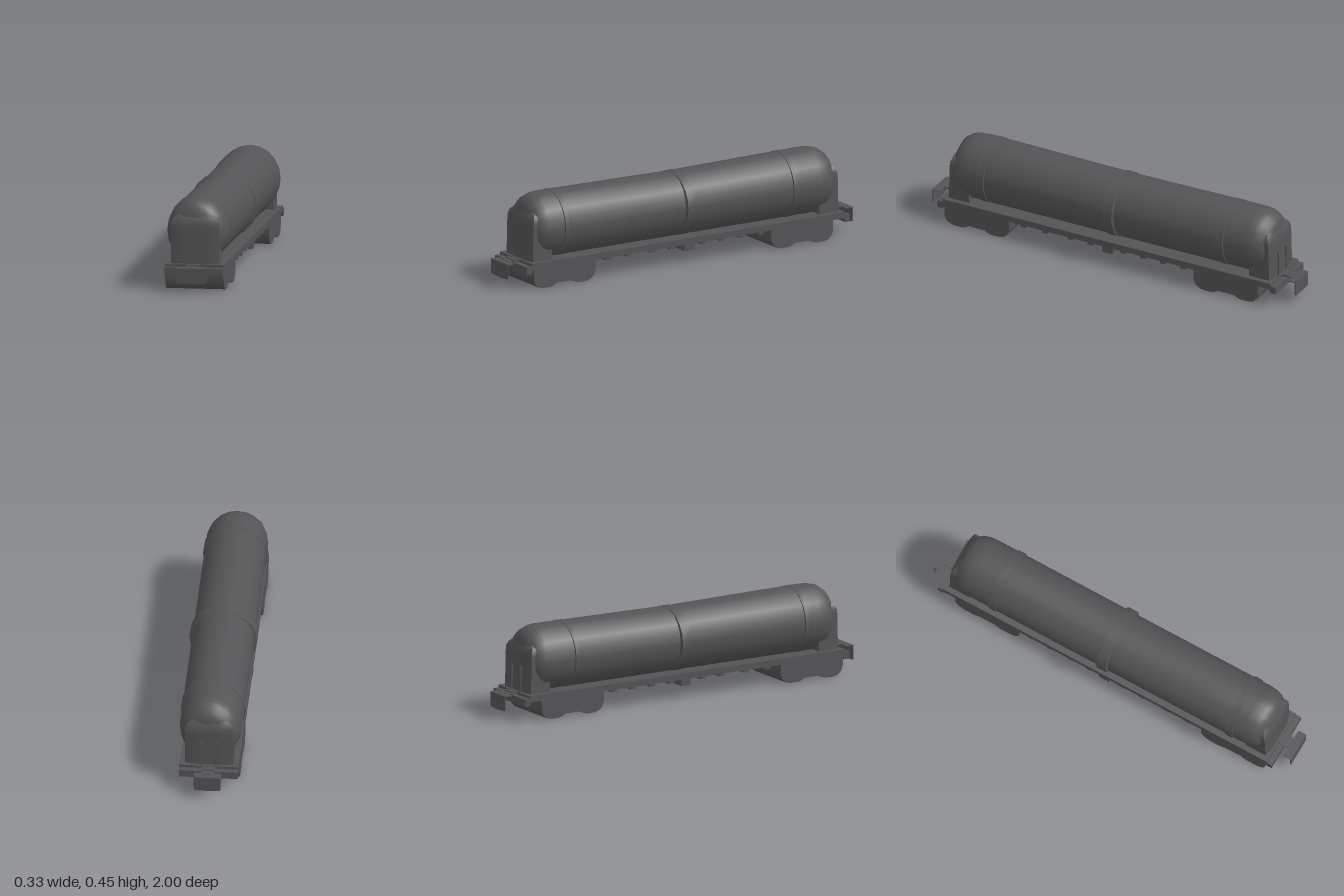
import * as THREE from 'three';
import { toCreasedNormals } from 'three/addons/utils/BufferGeometryUtils.js';

const steel = new THREE.MeshStandardMaterial({ color: 0x545456, side: THREE.DoubleSide });
steel.name = 'dark grey steel';

const CY = 0.28, RX = 0.152, RY = 0.165;

export function createModel() {
  const root = new THREE.Group();
  root.name = 'tankWagon';

  const add = (name, geo, x = 0, y = 0, z = 0) => {
    const m = new THREE.Mesh(geo, steel);
    m.name = name;
    m.position.set(x, y, z);
    root.add(m);
    return m;
  };
  const box = (name, w, h, d, x, y, z) => add(name, new THREE.BoxGeometry(w, h, d), x, y, z);

  // Moves every vertex by a rule
  const warp = (geo, rule) => {
    const p = geo.attributes.position, v = new THREE.Vector3();
    for (let i = 0; i < p.count; i++) {
      rule(v.fromBufferAttribute(p, i));
      p.setXYZ(i, v.x, v.y, v.z);
    }
    return geo;
  };

  // Turned body along z: profile is [radius factor, z]; the top sags slightly at mid length
  const turned = (profile, rx, ry) => {
    const geo = new THREE.LatheGeometry(profile.map(([r, z]) => new THREE.Vector2(r, z)), 20);
    geo.rotateX(Math.PI / 2);
    warp(geo, (v) => {
      const sag = v.y > 0 ? 0.06 * Math.max(0, 1 - Math.abs(v.z) / 0.75) : 0;
      v.x *= rx;
      v.y *= ry * (1 - sag);
    });
    return toCreasedNormals(geo, 0.7);
  };

  // Side silhouette of [z, y] points swept across the width
  const swept = (points, width) => {
    const shape = new THREE.Shape(points.map(([z, y]) => new THREE.Vector2(z, y)));
    const geo = new THREE.ExtrudeGeometry(shape, { depth: width, bevelEnabled: false });
    geo.translate(0, 0, -width / 2);
    geo.rotateY(-Math.PI / 2);
    return toCreasedNormals(geo, 0.6);
  };

  // Tank barrel with domed ends
  const dome = [[1, 0.765], [0.98, 0.8], [0.92, 0.83], [0.81, 0.855], [0.62, 0.871], [0.35, 0.88], [0.001, 0.884]];
  const barrel = [
    ...dome.map(([r, z]) => [r, -z]).reverse(),
    [1, -0.5], [1, -0.25], [1, 0], [1, 0.25], [1, 0.5],
    ...dome,
  ];
  add('tank', turned(barrel, RX, RY), 0, CY, 0);

  // Bands around the tank
  const band = (name, z, half, rx) =>
    add(name, turned([[0.9, z - half - 0.006], [1, z - half], [1, z + half], [0.9, z + half + 0.006]], rx, RY + 0.001), 0, CY, 0);
  band('middleBand', -0.012, 0.026, 0.166);
  band('frontBand', 0.695, 0.02, 0.158);
  band('rearBand', -0.625, 0.02, 0.158);

  // Rounded end housings that join the domes to the deck
  for (const s of [1, -1]) {
    const geo = warp(new THREE.BoxGeometry(0.236, 0.25, 0.12, 8, 12, 2), (v) => {
      const up = (v.y + 0.125) / 0.25;
      const t = Math.max(0, (up - 0.76) / 0.24);
      const side = Math.abs(v.x) / 0.118;
      v.x *= 1 - 0.32 * t * t * t;
      if (v.z > 0) v.z -= 0.006 * up + 0.022 * t * t + 0.01 * side ** 4;
    });
    const end = add(s > 0 ? 'frontHousing' : 'rearHousing', toCreasedNormals(geo, 0.7), 0, 0.247, s * 0.833);
    if (s < 0) end.rotation.y = Math.PI;
  }
  for (const x of [-0.04, 0.04]) box('rearRib', 0.012, 0.13, 0.012, x, 0.19, -0.892);

  // Deck with a step and a deeper buffer beam at each end
  const halfDeck = [[0.905, 0.129], [0.905, 0.115], [0.932, 0.115], [0.932, 0.078], [0.905, 0.078], [0.895, 0.098]];
  const deck = [...halfDeck, ...halfDeck.map(([z, y]) => [-z, y]).reverse()];
  add('deck', swept(deck, 0.288));

  // Bogies: two rounded wheel lobes with a shallow valley between
  const halfBogie = [[0.178, 0.1], [0.178, 0.05], [0.17, 0.025], [0.15, 0.007], [0.125, 0], [0.08, 0], [0.06, 0.006], [0.045, 0.016]];
  const bogie = [...halfBogie, ...halfBogie.map(([z, y]) => [-z, y]).reverse()];
  add('frontBogie', swept(bogie, 0.288), 0, 0, 0.716);
  add('rearBogie', swept(bogie, 0.288), 0, 0, -0.658);

  // Underfloor equipment
  box('middleCrossbeam', 0.286, 0.034, 0.056, 0, 0.083, -0.006);
  for (const z of [0.46, 0.34, 0.2, 0.09, -0.09, -0.2, -0.31, -0.42])
    box('underfloorBeam', 0.286, 0.014, 0.03, 0, 0.093, z);

  // Couplers: a stem plate, a top plate and a rounded hanging face
  const coupler = (s, w) => {
    const top = 0.124, low = 0.047, r = 0.016;
    const face = new THREE.Shape();
    face.moveTo(-w, top);
    face.lineTo(-w, low + r);
    face.quadraticCurveTo(-w, low, -w + r, low + 0.002);
    face.quadraticCurveTo(0, low - 0.002, w - r, low + 0.002);
    face.quadraticCurveTo(w, low, w, low + r);
    face.lineTo(w, top);
    const label = s > 0 ? 'front' : 'rear';
    add(label + 'CouplerFace', new THREE.ExtrudeGeometry(face, { depth: 0.004, bevelEnabled: false }), 0, 0, s > 0 ? 0.996 : -1);
    box(label + 'CouplerTop', 2 * w, 0.004, 0.04, 0, 0.122, s * 0.978);
    box(label + 'CouplerNeck', 0.06, 0.006, 0.09, 0, 0.123, s * 0.925);
    box(label + 'CouplerLip', 0.066, 0.006, 0.02, 0, 0.129, s * 0.93);
  };
  coupler(1, 0.075);
  coupler(-1, 0.066);

  return root;
}
